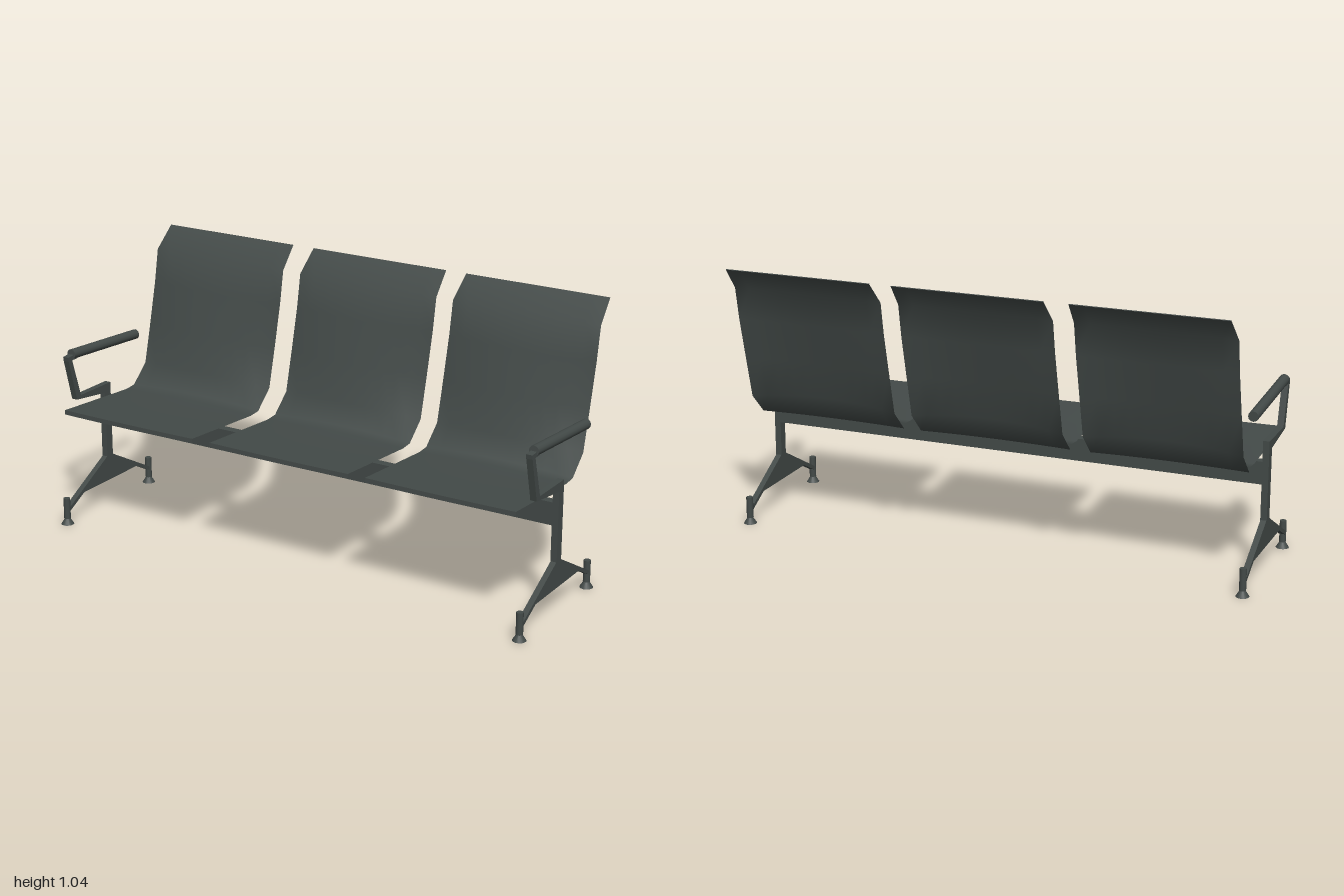
import * as THREE from 'three';

const frameMat = new THREE.MeshStandardMaterial({ color: 0x434a48 });
frameMat.name = 'charcoal';

// Seat shell rows, front lip to headrest: edge z, edge y, centre z, centre y, thickness
const ROWS = [
  [0.34, 0.467, 0.34, 0.465, 0.017],
  [0.15, 0.454, 0.15, 0.454, 0.018],
  [-0.04, 0.441, -0.05, 0.445, 0.02],
  [-0.09, 0.445, -0.1, 0.453, 0.02],
  [-0.168, 0.515, -0.14, 0.53, 0.014],
  [-0.208, 0.67, -0.182, 0.67, 0.012],
  [-0.247, 0.83, -0.232, 0.825, 0.012],
  [-0.27, 0.955, -0.27, 0.96, 0.012],
  [-0.353, 1.036, -0.353, 1.036, 0.003],
];
const COLS = 10;

// Grid of points turned into triangles appended to shared lists
function addGrid(pos, idx, grid, flip) {
  const base = pos.length / 3, n = grid[0].length;
  grid.forEach((row) => row.forEach((p) => pos.push(...p)));
  for (let i = 0; i < grid.length - 1; i++) {
    for (let j = 0; j < n - 1; j++) {
      const a = base + i * n + j, b = a + 1, c = a + n, d = c + 1;
      if (flip) idx.push(a, c, b, b, c, d);
      else idx.push(a, b, c, b, d, c);
    }
  }
}

function shellGeometry(width) {
  const front = [], back = [];
  ROWS.forEach((r, i) => {
    const half = width / 2 - (i === ROWS.length - 1 ? 0.007 : 0);
    const p = ROWS[Math.max(i - 1, 0)], q = ROWS[Math.min(i + 1, ROWS.length - 1)];
    // direction across the shell, away from the sitter
    const dz = q[0] - p[0], dy = q[1] - p[1], len = Math.hypot(dz, dy);
    const nz = -dy / len, ny = dz / len;
    const f = [], b = [];
    for (let j = 0; j <= COLS; j++) {
      const s = (j / COLS) * 2 - 1, w = 1 - s * s;
      const z = r[0] + (r[2] - r[0]) * w, y = r[1] + (r[3] - r[1]) * w;
      f.push([s * half, y, z]);
      b.push([s * half, y + ny * r[4], z + nz * r[4]]);
    }
    front.push(f);
    back.push(b);
  });
  const pos = [], idx = [], last = ROWS.length - 1;
  addGrid(pos, idx, front, false);
  addGrid(pos, idx, back, true);
  // rim strips
  addGrid(pos, idx, [back[0], front[0]], false);
  addGrid(pos, idx, [front[last], back[last]], false);
  addGrid(pos, idx, [front.map((r) => r[0]), back.map((r) => r[0])], true);
  addGrid(pos, idx, [front.map((r) => r[COLS]), back.map((r) => r[COLS])], false);
  const g = new THREE.BufferGeometry();
  g.setAttribute('position', new THREE.Float32BufferAttribute(pos, 3));
  g.setIndex(idx);
  g.computeVertexNormals();
  return g;
}

function mesh(name, geo, parent, x = 0, y = 0, z = 0) {
  const m = new THREE.Mesh(geo, frameMat);
  m.name = name;
  m.position.set(x, y, z);
  parent.add(m);
  return m;
}

// Side outline of [z, y] points, extruded along x and centred on x = 0
function plate(points, thick) {
  const shape = new THREE.Shape(points.map(([z, y]) => new THREE.Vector2(-z, y)));
  const g = new THREE.ExtrudeGeometry(shape, { depth: thick, bevelEnabled: false });
  g.translate(0, 0, -thick / 2);
  g.rotateY(Math.PI / 2);
  return g;
}

function buildSide(name, x) {
  const side = new THREE.Group();
  side.name = name;
  side.position.x = x;

  // upright post
  mesh('post', new THREE.BoxGeometry(0.024, 0.3, 0.035), side, 0, 0.347, 0.073);

  // spread leg plate
  mesh('legPlate', plate([
    [0.09, 0.2], [0.33, 0.068], [0.33, 0.052], [0.24, 0.1],
    [-0.095, 0.1], [-0.183, 0.052], [-0.183, 0.068], [0.055, 0.2],
  ], 0.022), side);

  // bent bracket carrying the armrest
  mesh('armBracket', plate([
    [0.056, 0.497], [0.238, 0.497], [0.282, 0.648], [0.25, 0.648], [0.25, 0.668],
    [0.305, 0.664], [0.303, 0.648], [0.262, 0.485], [0.09, 0.463], [0.056, 0.463],
  ], 0.024), side);

  // sloping armrest pad
  const padGeo = new THREE.CylinderGeometry(0.019, 0.019, 0.4, 12);
  padGeo.rotateX(Math.PI / 2);
  const pad = mesh('armrestPad', padGeo, side, 0, 0.654, 0.072);
  pad.rotation.x = -0.065;

  // levelling feet
  [0.335, -0.187].forEach((z) => {
    mesh('footStem', new THREE.CylinderGeometry(0.013, 0.013, 0.082, 12), side, 0, 0.064, z);
    mesh('footBase', new THREE.CylinderGeometry(0.009, 0.025, 0.025, 14), side, 0, 0.0125, z);
  });
  return side;
}

export function createModel() {
  const model = new THREE.Group();
  model.name = 'beamBench';

  // three seat shells
  const shell = shellGeometry(0.588);
  [['rightSeat', -0.666], ['middleSeat', -0.001], ['leftSeat', 0.656]].forEach(([name, x]) => {
    mesh(name, shell, model, x);
  });

  // cross beam
  mesh('beam', new THREE.BoxGeometry(1.95, 0.085, 0.034), model, 0, 0.376, 0.073);

  // legs and armrests at both ends
  model.add(buildSide('rightSide', -0.975), buildSide('leftSide', 0.975));
  return model;
}
